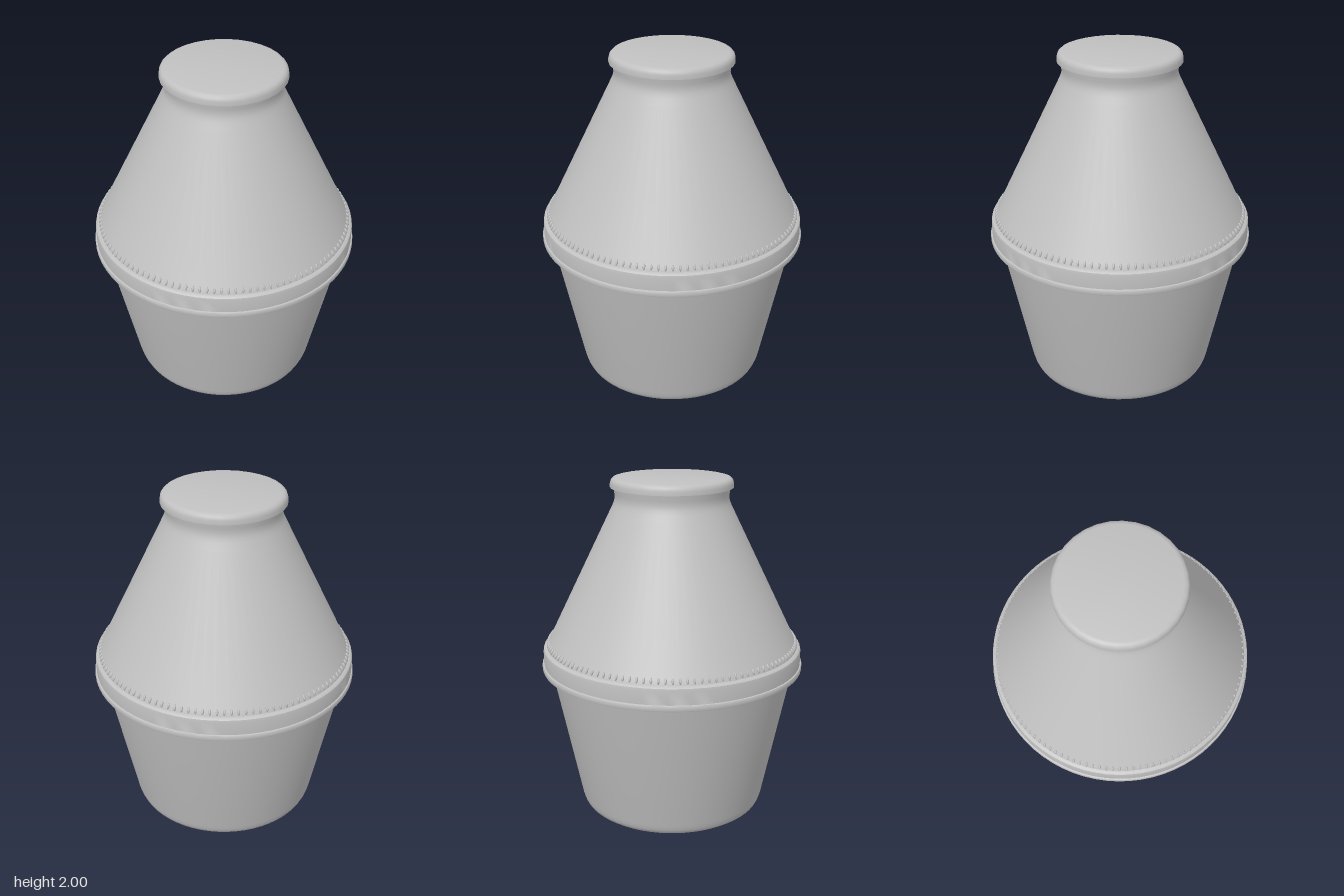
import * as THREE from 'three';
import { toCreasedNormals } from 'three/addons/utils/BufferGeometryUtils.js';

export function createModel() {
  const model = new THREE.Group();
  const plastic = new THREE.MeshStandardMaterial({ color: 0xc0c0c0, side: THREE.DoubleSide });
  plastic.name = 'grey plastic';

  // turned part from a profile of [radius, height], outside running upward
  function turn(name, profile, sides) {
    const points = profile.map(([r, y]) => new THREE.Vector2(r, y));
    const geometry = toCreasedNormals(new THREE.LatheGeometry(points, sides), 0.6);
    const mesh = new THREE.Mesh(geometry, plastic);
    mesh.name = name;
    model.add(mesh);
  }

  // tapered cup with a rounded foot and a hollowed base
  turn('cup', [
    [0, 0.045], [0.25, 0.038], [0.4, 0.025], [0.48, 0.008], [0.505, 0], [0.53, 0.005],
    [0.548, 0.018], [0.558, 0.04], [0.566, 0.07], [0.728, 0.88], [0.745, 0.97], [0.745, 1.0],
  ], 64);

  // rim band with a flange, open underneath
  turn('rimBand', [
    [0.755, 1.0], [0.757, 0.9], [0.765, 0.878], [0.778, 0.878], [0.78, 0.884], [0.78, 0.904],
    [0.777, 0.91], [0.77, 0.912], [0.77, 0.99], [0.767, 1.004], [0.758, 1.012],
    [0.75, 1.014], [0.74, 1.016],
  ], 72);

  // conical lid flowing into the neck
  turn('cone', [
    [0.748, 1.012], [0.745, 1.022], [0.735, 1.04], [0.362, 1.8], [0.344, 1.837],
    [0.334, 1.86], [0.328, 1.885], [0.33, 1.91], [0.336, 1.95],
  ], 64);

  // flat cap with a rounded top edge
  turn('cap', [
    [0.33, 1.95], [0.34, 1.945], [0.355, 1.945], [0.354, 1.968], [0.349, 1.985],
    [0.338, 1.996], [0.322, 2.0], [0, 2.0],
  ], 32);

  // small ribs around the foot of the cone
  const ribs = new THREE.Group();
  ribs.name = 'gripRibs';
  const ribGeometry = new THREE.SphereGeometry(1, 8, 6);
  const count = 120;
  for (let i = 0; i < count; i++) {
    const a = (i / count) * Math.PI * 2;
    const rib = new THREE.Mesh(ribGeometry, plastic);
    rib.name = 'gripRib';
    rib.scale.set(0.007, 0.018, 0.009);
    rib.position.set(Math.sin(a) * 0.739, 1.036, Math.cos(a) * 0.739);
    rib.rotation.set(-0.45, a, 0, 'YXZ');
    ribs.add(rib);
  }
  model.add(ribs);

  return model;
}
